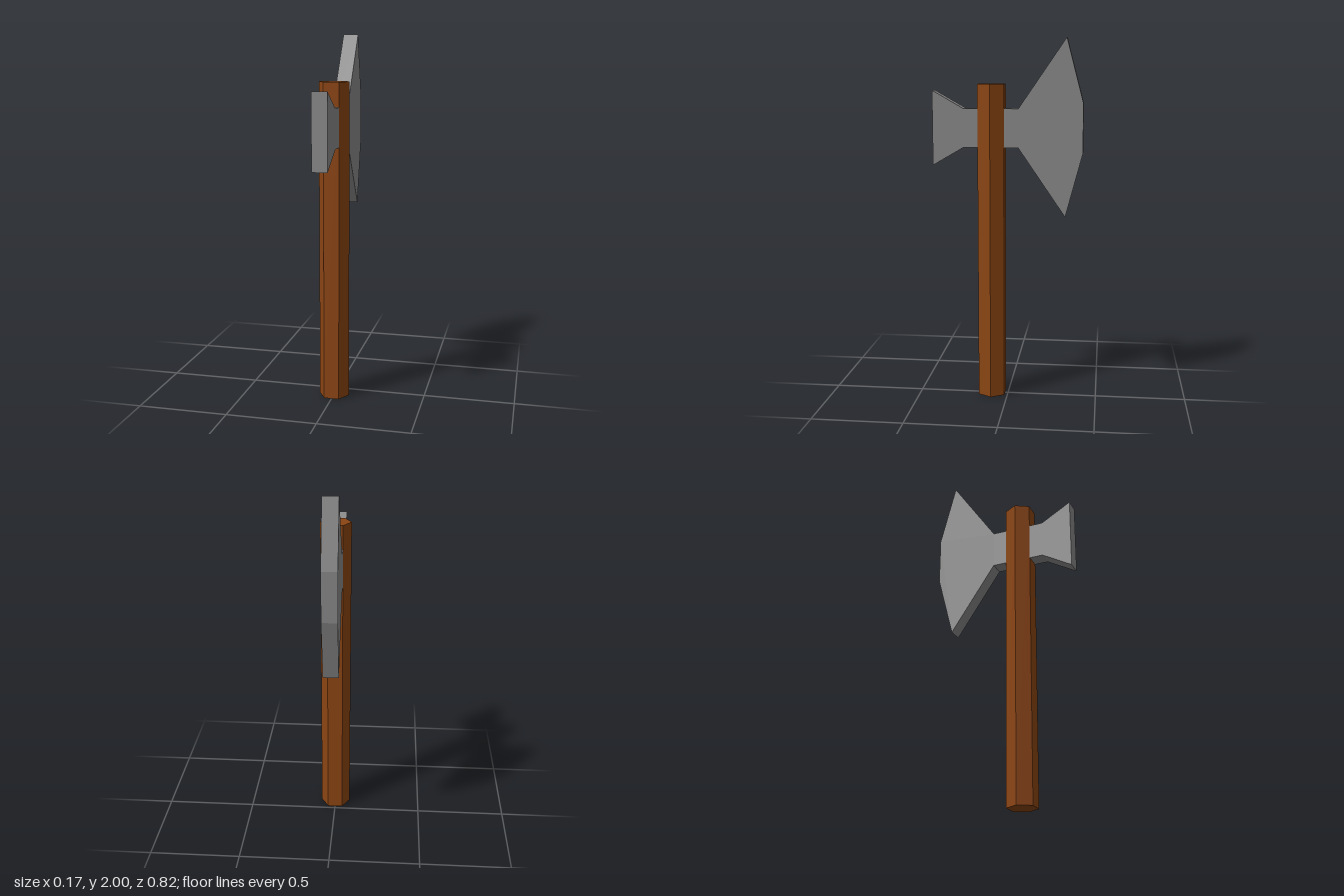
import * as THREE from 'three';

export function createModel() {
  const group = new THREE.Group();
  const wood = new THREE.MeshStandardMaterial({ color: 0x8b4513, flatShading: true });
  wood.name = 'brown wood';
  const steel = new THREE.MeshStandardMaterial({ color: 0x888888, flatShading: true });
  steel.name = 'grey steel';

  // Six-sided handle, corners pointing to left and right
  const height = 1.755;
  const handle = new THREE.Mesh(
    new THREE.CylinderGeometry(0.084, 0.084, height, 6, 1, false, Math.PI / 2), wood);
  handle.name = 'handle';
  handle.position.set(0, height / 2, 0.09);
  group.add(handle);

  // Head outline as [z, y]: small poll at the front, wide blade at the back
  const outline = [
    [0.41, 1.313], [0.41, 1.72], [0.24, 1.623], [-0.06, 1.623], [-0.318, 2.0],
    [-0.41, 1.652], [-0.41, 1.384], [-0.318, 1.036], [-0.06, 1.412], [0.24, 1.412],
  ].map(([z, y]) => new THREE.Vector2(z, y));
  const thickness = 0.084;
  const headGeometry = new THREE.ExtrudeGeometry(new THREE.Shape(outline), {
    depth: thickness, bevelEnabled: false,
  });
  headGeometry.translate(0, 0, -thickness / 2);
  headGeometry.rotateY(-Math.PI / 2);
  const head = new THREE.Mesh(headGeometry, steel);
  head.name = 'axeHead';
  group.add(head);

  return group;
}
